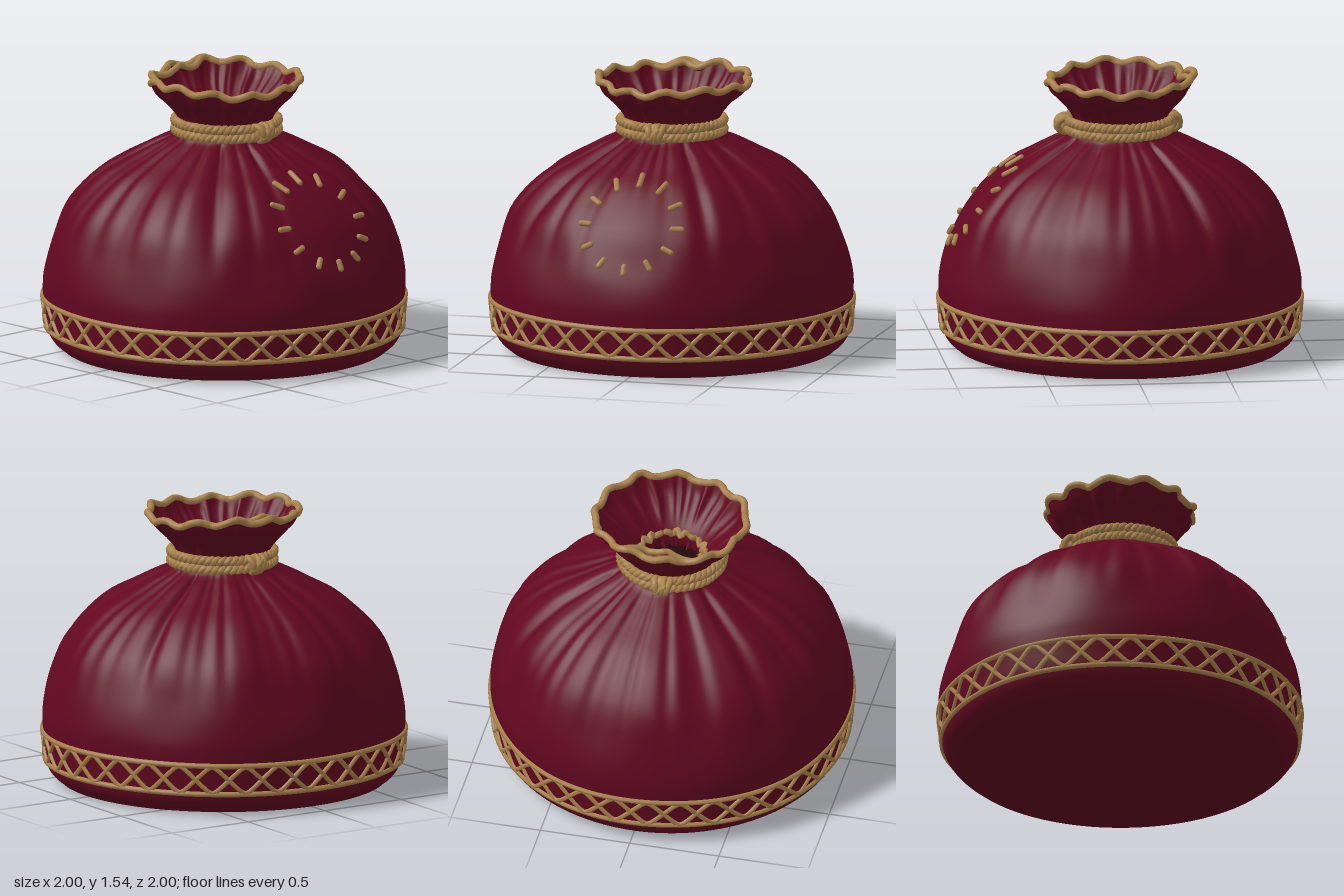
import * as THREE from 'three';
import { mergeVertices } from 'three/addons/utils/BufferGeometryUtils.js';
import { ParametricGeometry } from 'three/addons/geometries/ParametricGeometry.js';

const { sin, cos, PI, pow, exp } = Math;
const step = THREE.MathUtils.smoothstep;
const V2 = (p) => new THREE.Vector2(p[0], p[1]);

const PATCH = { x: -0.02, y: 0.82, rx: 0.265, ry: 0.215 };
const RIM_Y = 1.49;

// Cloth profile (radius, height): underside, body, neck, rim, then down inside the neck
const OUTER = [[0, 0], [0.45, 0], [0.84, 0], [0.905, 0.018], [0.95, 0.06], [0.972, 0.12], [0.981, 0.21],
  [0.989, 0.32], [0.983, 0.43], [0.938, 0.6], [0.85, 0.8], [0.672, 0.98], [0.488, 1.085], [0.365, 1.15],
  [0.29, 1.19], [0.265, 1.24], [0.265, 1.29], [0.315, 1.36], [0.38, 1.425], [0.422, RIM_Y]];
const INNER = [[0.405, RIM_Y], [0.36, 1.425], [0.295, 1.36], [0.225, 1.295], [0.182, 1.245], [0.172, 1.18], [0.172, 1.1]];
const outerPoints = new THREE.SplineCurve(OUTER.map(V2)).getPoints(85);
const innerPoints = new THREE.SplineCurve(INNER.map(V2)).getPoints(20);

// Outer radius of the body at a height
function radiusAt(y) {
  for (let i = 1; i < outerPoints.length; i++) {
    const a = outerPoints[i - 1], b = outerPoints[i];
    if (b.y >= y && b.y > a.y && a.x > 0.5) return a.x + (b.x - a.x) * (y - a.y) / (b.y - a.y);
  }
  return 0.5;
}

// Narrow creases with rounded cloth between them
function pleats(t) {
  const a = pow(0.5 + 0.5 * sin(13 * t + 1.2 * sin(3 * t) + 0.6), 4);
  const b = pow(0.5 + 0.5 * sin(22 * t + 1.6 * sin(2 * t + 1) + 2), 3);
  return 0.35 - 0.8 * a - 0.5 * b;
}

// Point on the gathered cloth for an angle (0 = front), base radius and base height
function place(t, r, y) {
  const dx = (r * sin(t) - PATCH.x) / 0.3, dy = (y - PATCH.y) / 0.26;
  const flat = cos(t) > 0 ? exp(-pow(dx * dx + dy * dy, 2)) : 0;
  const shoulder = step(y, 0.5, 1.08) * (1 - step(y, 1.13, 1.21));
  const ruffle = step(y, 1.27, 1.4) * (1 - 0.5 * step(y, 1.42, RIM_Y));
  const rim = step(y, 1.36, RIM_Y);
  const body = step(y, 0.28, 0.65) * (1 - step(y, 0.9, 1.15));
  let d = (0.048 * shoulder + 0.028 * ruffle) * pleats(t) * (1 - flat);
  d += 0.009 * body * (1 - flat) * (sin(7 * t + 4 * y) + 0.6 * sin(11 * t - 5 * y + 1));
  d += 0.007 * step(y, 0.02, 0.2) * (1 - step(y, 0.9, 1.2)) * sin(5 * t + 0.7);
  d += rim * 0.01 * sin(12 * t + 1);
  d -= 0.025 * flat;
  const lift = rim * (0.014 * sin(12 * t) + 0.01 * sin(3 * t - 0.4) - 0.01 * cos(t));
  return new THREE.Vector3((r + d) * sin(t) + 0.006 * rim, y + lift, (r + d) * cos(t) * (1 - 0.05 * rim));
}

// Closed cord following a rule of the angle
function loopCord(rule, radius, segments, sides = 6) {
  const pts = Array.from({ length: segments }, (_, i) => rule(i / segments * 2 * PI));
  const curve = new THREE.CatmullRomCurve3(pts, true);
  return new THREE.TubeGeometry(curve, segments, radius, sides, true);
}

export function createModel() {
  const cloth = new THREE.MeshStandardMaterial({ color: 0x620720, side: THREE.DoubleSide });
  cloth.name = 'crimson cloth';
  const cord = new THREE.MeshStandardMaterial({ color: 0xa9824a });
  cord.name = 'tan cord';
  const dark = new THREE.MeshStandardMaterial({ color: 0x240808 });
  dark.name = 'dark interior';

  const model = new THREE.Group();
  model.name = 'drawstringPouch';
  const add = (name, geometry, material, parent = model) => {
    const mesh = new THREE.Mesh(geometry, material);
    mesh.name = name;
    parent.add(mesh);
    return mesh;
  };
  const group = (name) => {
    const g = new THREE.Group();
    g.name = name;
    model.add(g);
    return g;
  };

  // Gathered bag: a lathe whose vertices are pushed into folds
  let bag = new THREE.LatheGeometry([...outerPoints, ...innerPoints], 288);
  const pos = bag.attributes.position;
  for (let i = 0; i < pos.count; i++) {
    const x = pos.getX(i), z = pos.getZ(i);
    const p = place(Math.atan2(x, z), Math.hypot(x, z), pos.getY(i));
    pos.setXYZ(i, p.x, Math.max(p.y, 0), p.z);
  }
  bag.deleteAttribute('uv');
  bag.deleteAttribute('normal');
  bag = mergeVertices(bag, 1e-5);
  bag.computeVertexNormals();
  add('clothBag', bag, cloth);

  // Dark opening down the neck, ringed by the gathered cord
  const hole = add('neckOpening', new THREE.CircleGeometry(0.19, 40), dark);
  hole.rotation.x = -PI / 2;
  hole.position.y = 1.17;
  add('innerCord', loopCord((t) => {
    const r = 0.182 + 0.014 * sin(17 * t) + 0.006 * sin(29 * t);
    return new THREE.Vector3(r * sin(t), 1.25 + 0.012 * sin(23 * t), r * cos(t));
  }, 0.017, 160), cord);

  // Piping on the ruffled rim
  add('rimPiping', loopCord((t) => place(t, 0.414, RIM_Y), 0.02, 144, 8), cord);

  // Tucked fold of the rim at the back, with its own piping
  const tuck = group('rimTuck');
  const tuckPoint = (u, v) => {
    const p = place(PI - 0.45 + 0.95 * u, 0.412 - 0.075 * v * sin(PI * u), RIM_Y);
    p.y -= 0.03 * sin(PI * v) * sin(PI * u);
    return p;
  };
  add('tuckCloth', new ParametricGeometry((u, v, target) => target.copy(tuckPoint(u, v)), 24, 6), cloth, tuck);
  const tuckEdge = Array.from({ length: 13 }, (_, i) => tuckPoint(i / 12, 1));
  add('tuckPiping', new THREE.TubeGeometry(new THREE.CatmullRomCurve3(tuckEdge), 40, 0.018, 8), cord, tuck);

  // Trim band: two edge cords and a crossed lattice
  const band = group('trimBand');
  const onBand = (y) => (t) => place(t, radiusAt(y) + 0.002, y);
  add('bandLowerCord', loopCord(onBand(0.122), 0.015, 120), cord, band);
  add('bandUpperCord', loopCord(onBand(0.283), 0.015, 120), cord, band);
  for (const s of [-1, 1]) {
    const zigzag = (t) => 0.203 + s * 0.074 * Math.asin(0.94 * sin(17 * t)) / Math.asin(0.94);
    add('bandLattice', loopCord((t) => onBand(zigzag(t))(t), 0.0135, 340), cord, band);
  }

  // Twisted double rope around the neck
  const rope = group('neckRope');
  for (const y of [1.217, 1.267]) {
    for (const phase of [0, PI]) {
      add('ropeStrand', loopCord((t) => {
        const a = 26 * t + phase, r = 0.281 + 0.01 * cos(a);
        return new THREE.Vector3(r * sin(t), y + 0.01 * sin(a), 0.01 + r * cos(t));
      }, 0.0185, 360), cord, rope);
    }
  }

  // Knots at the front and back
  for (const s of [1, -1]) {
    const knot = group(s > 0 ? 'frontKnot' : 'backKnot');
    knot.position.set(-0.012, 1.24, s * 0.292 + 0.01);
    knot.rotation.y = s > 0 ? 0 : PI;
    const core = add('knotCore', new THREE.SphereGeometry(0.05, 16, 12), cord, knot);
    core.scale.set(0.95, 1.15, 0.85);
    for (const [x, tilt] of [[-0.026, 0.25], [0.01, -0.1], [0.034, -0.35]]) {
      const wrap = add('knotWrap', new THREE.TorusGeometry(0.042, 0.019, 8, 24), cord, knot);
      wrap.rotation.set(0, PI / 2, tilt, 'ZYX');
      wrap.position.x = x;
    }
    const cross = add('knotCross', new THREE.CapsuleGeometry(0.018, 0.06, 4, 8), cord, knot);
    cross.rotation.z = -0.8;
    cross.position.z = 0.042;
  }

  // Ring of radial stitches on the front
  const stitches = group('patchStitches');
  const onFront = (a, k) => {
    const x = PATCH.x + PATCH.rx * k * cos(a), y = PATCH.y + PATCH.ry * k * sin(a);
    const r = radiusAt(y);
    return place(Math.asin(x / r), r + 0.008, y);
  };
  for (let i = 0; i < 12; i++) {
    const a = i * PI / 6;
    const p = onFront(a, 0.88), q = onFront(a, 1.12);
    const dir = q.clone().sub(p);
    const stitch = add('stitch', new THREE.CapsuleGeometry(0.016, Math.max(dir.length() - 0.016, 0.03), 4, 8), cord, stitches);
    stitch.position.copy(p).add(q).multiplyScalar(0.5);
    stitch.quaternion.setFromUnitVectors(new THREE.Vector3(0, 1, 0), dir.normalize());
  }

  return model;
}
